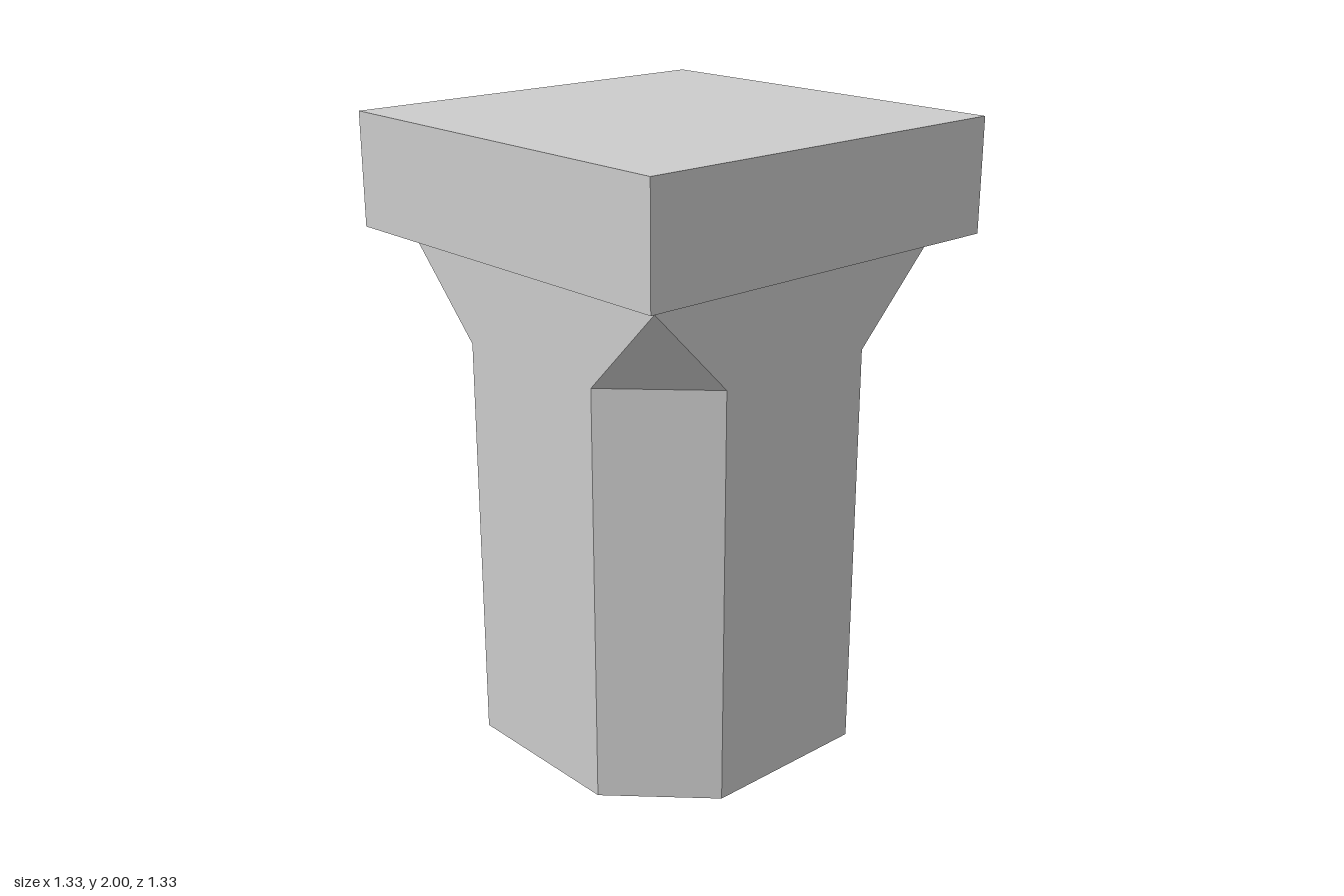
import * as THREE from 'three';

const HALF = 0.553;      // half width of the shaft
const INNER = 0.283;     // where the corner chamfers begin
const CHAMFER_TOP = 1.327;
const SHAFT_TOP = 1.6;
const CAP_BOTTOM = 1.643;
const CAP_HALF = 0.665;

// Two points per corner, turned a quarter for each of the four corners
function cornerRing(inner, outer, y) {
  const ring = [];
  for (let k = 0; k < 4; k++) {
    for (let [x, z] of [[inner, outer], [outer, inner]]) {
      for (let i = 0; i < k; i++) [x, z] = [z, -x];
      ring.push(new THREE.Vector3(x, y, z));
    }
  }
  return ring;
}

// Flat-faced skin through the rings, closed at both ends
function loft(rings) {
  const pos = [];
  const tri = (a, b, c) => {
    if (new THREE.Triangle(a, b, c).getArea() < 1e-6) return;
    for (const p of [a, b, c]) pos.push(p.x, p.y, p.z);
  };
  const n = rings[0].length;
  for (let r = 0; r < rings.length - 1; r++) {
    for (let i = 0; i < n; i++) {
      const j = (i + 1) % n, lo = rings[r], hi = rings[r + 1];
      tri(lo[i], lo[j], hi[j]);
      tri(lo[i], hi[j], hi[i]);
    }
  }
  const first = rings[0], last = rings[rings.length - 1];
  for (let i = 1; i < n - 1; i++) {
    tri(first[0], first[i + 1], first[i]);
    tri(last[0], last[i], last[i + 1]);
  }
  const geo = new THREE.BufferGeometry();
  geo.setAttribute('position', new THREE.Float32BufferAttribute(pos, 3));
  geo.computeVertexNormals();
  return geo;
}

export function createModel() {
  const model = new THREE.Group();
  model.name = 'pillar';
  const stone = new THREE.MeshStandardMaterial({ color: 0xcccccc });
  stone.name = 'light grey stone';

  const add = (name, geo) => {
    const mesh = new THREE.Mesh(geo, stone);
    mesh.name = name;
    model.add(mesh);
    return mesh;
  };

  // Square shaft with chamfered corners that run out to points at the top
  add('shaft', loft([
    cornerRing(INNER, HALF, 0),
    cornerRing(INNER, HALF, CHAMFER_TOP),
    cornerRing(HALF, HALF, SHAFT_TOP),
  ]));

  // Sloped flare between the shaft and the cap
  add('flare', loft([
    cornerRing(HALF, HALF, SHAFT_TOP),
    cornerRing(CAP_HALF, CAP_HALF, CAP_BOTTOM),
  ]));

  // Square cap slab
  const height = 2 - CAP_BOTTOM;
  add('cap', new THREE.BoxGeometry(CAP_HALF * 2, height, CAP_HALF * 2))
    .position.y = CAP_BOTTOM + height / 2;

  return model;
}
